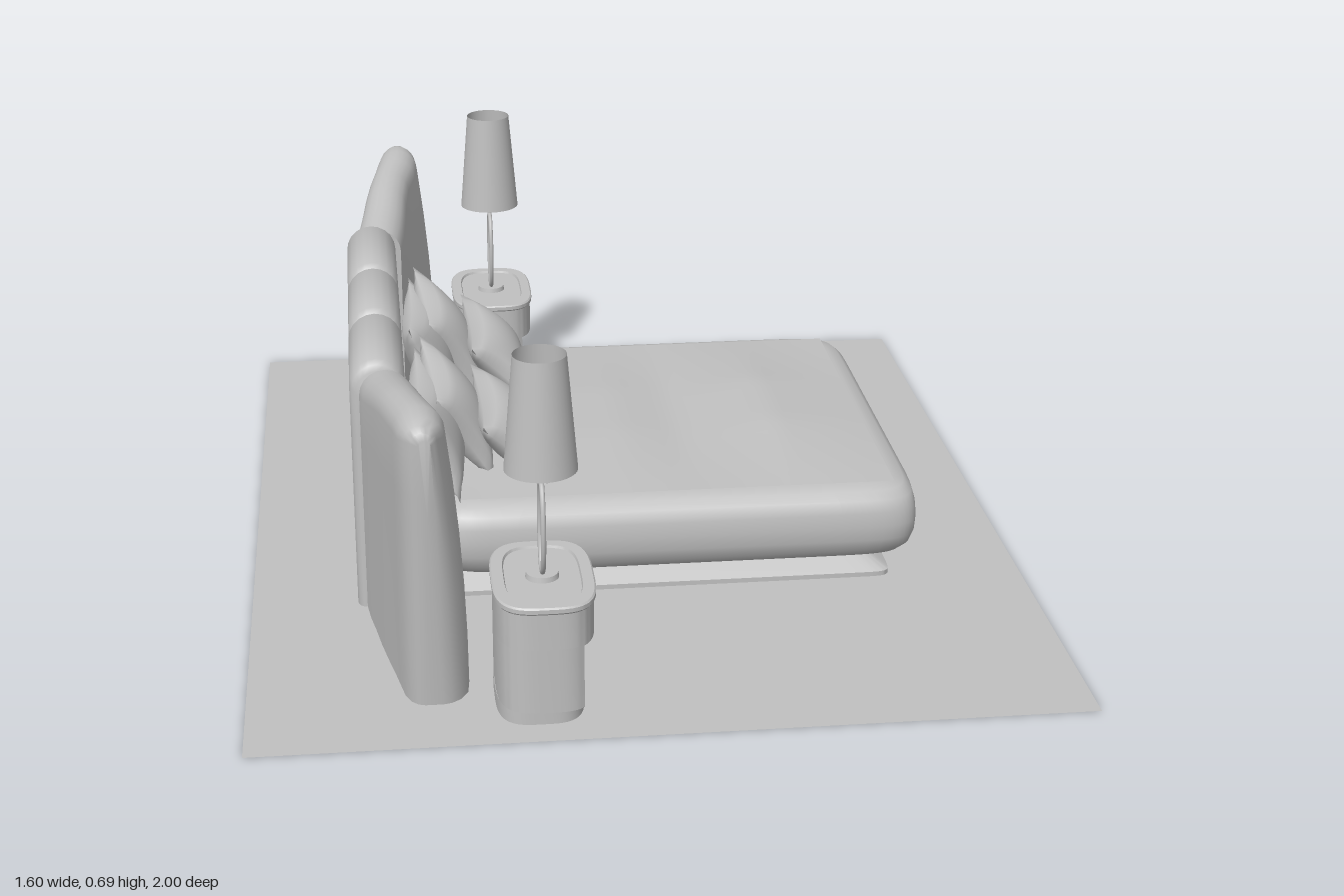
import * as THREE from 'three';
import { mergeVertices, toCreasedNormals } from 'three/addons/utils/BufferGeometryUtils.js';

const V = (x, y, z) => new THREE.Vector3(x, y, z);

// Skin through closed rings with capped ends, faces turned outward
function loft(rings, crease = 0.7) {
  const n = rings[0].length, m = rings.length, pts = rings.flat(), idx = [];
  for (let i = 0; i < m - 1; i++)
    for (let j = 0; j < n; j++) {
      const a = i * n + j, b = i * n + (j + 1) % n;
      idx.push(a, b, b + n, a, b + n, a + n);
    }
  [0, m - 1].forEach((r) => {
    const c = pts.length;
    pts.push(rings[r].reduce((s, p) => s.add(p), V(0, 0, 0)).divideScalar(n));
    for (let j = 0; j < n; j++) {
      const a = r * n + j, b = r * n + (j + 1) % n;
      r ? idx.push(c, a, b) : idx.push(c, b, a);
    }
  });
  let volume = 0;
  for (let i = 0; i < idx.length; i += 3)
    volume += pts[idx[i]].dot(V(0, 0, 0).crossVectors(pts[idx[i + 1]], pts[idx[i + 2]]));
  if (volume < 0) idx.reverse();
  const g = new THREE.BufferGeometry().setFromPoints(pts);
  g.setIndex(idx);
  return toCreasedNormals(g, crease);
}

// Rounded rectangle in plan, half sizes a and b, squareness n
function oval(cx, cz, a, b, n, y, count = 56) {
  const p = (c) => Math.sign(c) * Math.abs(c) ** (2 / n);
  return Array.from({ length: count }, (_, i) => {
    const t = ((i + 0.5) / count) * Math.PI * 2;
    return V(cx + a * p(Math.cos(t)), y, cz + b * p(Math.sin(t)));
  });
}

// Upright padded section: back and front x, height, forward slope, rounded top
function padSection(z, xb, xf, h, slope, taper = 0) {
  const out = [], r = (xf - slope - xb) / 2, cx = xb + r, top = h - r;
  const add = (x, y) => out.push(V(x, y, z - taper * (1 - y / h)));
  for (let i = 0; i < 5; i++) add(xf - slope * (i / 5) ** 2, 0.002 + top * i / 5);
  for (let i = 0; i <= 10; i++) {
    const t = Math.PI * i / 10;
    add(cx + r * Math.cos(t), top + r * Math.sin(t));
  }
  for (let i = 4; i >= 0; i--) add(xb, 0.002 + top * i / 5);
  return out;
}

// Cushion with pinched edges and pointed corners
function cushion(w, h, t) {
  const g = new THREE.BoxGeometry(2, 2, 2, 16, 12, 1), p = g.attributes.position;
  for (let i = 0; i < p.count; i++) {
    const u = p.getX(i), v = p.getY(i), k = (1 - u * u) * (1 - v * v);
    p.setXYZ(i, w / 2 * u * (1 - 0.1 * (1 - v * v)), h / 2 * v * (1 - 0.16 * (1 - u * u)),
      p.getZ(i) * t / 2 * Math.sqrt(Math.max(k, 0)));
  }
  g.deleteAttribute('normal');
  g.deleteAttribute('uv');
  const s = mergeVertices(g, 1e-4);
  s.computeVertexNormals();
  return s;
}

export function createModel() {
  const model = new THREE.Group();
  const grey = new THREE.MeshStandardMaterial({ color: 0xc0c0c0, side: THREE.DoubleSide });
  grey.name = 'grey';
  const add = (name, geo, parent = model) => {
    const mesh = new THREE.Mesh(geo, grey);
    mesh.name = name;
    parent.add(mesh);
    return mesh;
  };
  const mid = -0.025; // centre line of the bed

  // Rug
  add('rug', new THREE.PlaneGeometry(1.6, 2).rotateX(-Math.PI / 2));

  // Flared plinth and mattress
  add('bedBase', loft([[0.002, 0], [0.012, 0], [0.045, 0.05], [0.08, 0.05]].map(
    ([y, i]) => oval(0.01, mid, 0.515 - i, 0.42 - i, 40, y))));
  add('mattress', loft([[0.06, 0.05], [0.068, 0.025], [0.085, 0.01], [0.11, 0.002], [0.14, 0],
    [0.17, 0.003], [0.195, 0.01], [0.21, 0.025], [0.218, 0.05]].map(
    ([y, i]) => oval(0.075, mid, 0.505 - i, 0.475 - i, 14, y))));

  // Gently uneven bedspread on the mattress
  const cover = new THREE.PlaneGeometry(0.9, 0.84, 36, 24).rotateX(-Math.PI / 2);
  const cp = cover.attributes.position;
  for (let i = 0; i < cp.count; i++) {
    const x = cp.getX(i) + 0.075, z = cp.getZ(i);
    const edge = Math.min(1, (0.42 - Math.abs(z)) / 0.3);
    const swell = Math.max(0, 1 - Math.abs(x - 0.32) / 0.205) * 0.026
      + Math.max(0, Math.min(1, (0.11 - x) / 0.12)) * 0.016 * Math.min(1, (x + 0.375) / 0.06);
    cp.setXYZ(i, x, 0.219 + edge * swell, z + mid);
  }
  cover.computeVertexNormals();
  add('bedspread', cover);

  // Three padded headboard panels
  [[-0.47, -0.17], [-0.17, 0.12], [0.12, 0.42]].forEach(([a, b]) => {
    const rows = [[a, 0.02], [a + 0.006, 0.008], [a + 0.02, 0], [b - 0.02, 0], [b - 0.006, 0.008], [b, 0.02]];
    add('headboardPanel', loft(rows.map(
      ([z, i]) => padSection(z, -0.585 + i * 0.6, -0.465 - i * 0.6, 0.535 - i, 0.01))));
  });

  // Angled headboard wings: distance along, back x, front x, height
  const wing = [[0, -0.566, -0.462, 0.518], [0.12, -0.56, -0.445, 0.53], [0.25, -0.55, -0.43, 0.545],
    [0.4, -0.54, -0.415, 0.563], [0.55, -0.528, -0.4, 0.578], [0.7, -0.515, -0.384, 0.588],
    [0.8, -0.507, -0.376, 0.595], [0.9, -0.499, -0.38, 0.593], [0.96, -0.488, -0.395, 0.587],
    [0.99, -0.475, -0.412, 0.578], [1, -0.462, -0.428, 0.565]];
  for (const s of [1, -1])
    add('headboardWing', loft(wing.map(([t, xb, xf, h]) =>
      padSection(mid + s * (0.445 + 0.48 * t), xb, xf, h, 0.035 * Math.min(1, t * 2) * Math.min(1, (xf - xb) / 0.1), s * t * 0.055))));

  // Two matching sets of pillows: z, x, y, lean, roll
  const big = cushion(0.42, 0.22, 0.1), square = cushion(0.3, 0.23, 0.1), small = cushion(0.36, 0.18, 0.1);
  for (const z of [0.2, -0.25])
    [['backPillow', big, 0.01, -0.41, 0.315, -0.4, -0.06],
      ['middlePillow', square, -0.06, -0.365, 0.32, -0.55, 0.16],
      ['frontPillow', small, -0.01, -0.26, 0.3, -0.8, 0.03]].forEach(([name, geo, dz, x, y, lean, roll]) => {
      const p = add(name, geo);
      p.position.set(x, y, z + dz);
      p.rotation.set(lean, Math.PI / 2, roll, 'YXZ');
    });

  // Nightstands with open niche, and lamps
  const layer = (cx, a, b, rows) => loft(rows.map(([y, i]) => oval(cx, 0, a - i, b - i, 3.4, y)), 0.5);
  const outer = oval(0, 0, 0.093, 0.14, 3.4, 0).filter((p) => p.x < 0.07);
  const inner = oval(0, 0, 0.081, 0.128, 3.4, 0).filter((p) => p.x < 0.07);
  const wall = new THREE.Shape([...outer, ...inner.reverse()].map((p) => new THREE.Vector2(p.x, -p.z)));
  const ringPath = new THREE.CatmullRomCurve3(Array.from({ length: 24 }, (_, i) => {
    const t = i / 24 * Math.PI * 2;
    return V(0, 0.348 + 0.092 * Math.sin(t), 0.047 * Math.cos(t));
  }), true);
  for (const z of [0.813, -0.813]) {
    const stand = new THREE.Group();
    stand.name = 'nightstand';
    stand.position.set(-0.237, 0, z);
    model.add(stand);
    add('plinth', layer(-0.01, 0.084, 0.128, [[0.002, 0], [0.032, 0]]), stand);
    add('nicheFloor', layer(-0.008, 0.08, 0.13, [[0.03, 0], [0.042, 0]]), stand);
    add('nicheWall', toCreasedNormals(new THREE.ExtrudeGeometry(wall, { depth: 0.13, bevelEnabled: false })
      .rotateX(-Math.PI / 2).translate(0, 0.032, 0), 0.5), stand);
    add('drawer', layer(0, 0.093, 0.14, [[0.16, 0], [0.235, 0]]), stand);
    add('top', layer(0, 0.097, 0.146, [[0.236, 0.002], [0.239, 0], [0.247, 0], [0.25, 0.003], [0.25, 0.024], [0.245, 0.026]]), stand);

    const lamp = new THREE.Group();
    lamp.name = 'lamp';
    stand.add(lamp);
    add('lampFoot', new THREE.CylinderGeometry(0.03, 0.032, 0.01, 32).translate(0, 0.25, 0), lamp);
    add('lampRing', new THREE.TubeGeometry(ringPath, 64, 0.005, 8, true), lamp);
    add('lampNeck', new THREE.CylinderGeometry(0.005, 0.005, 0.05, 12).translate(0, 0.46, 0), lamp);
    add('lampShade', new THREE.CylinderGeometry(0.05, 0.069, 0.225, 40, 1, true).translate(0, 0.5775, 0), lamp);
    add('shadeBar', new THREE.BoxGeometry(0.005, 0.005, 0.13).translate(0, 0.475, 0), lamp);
  }
  return model;
}
